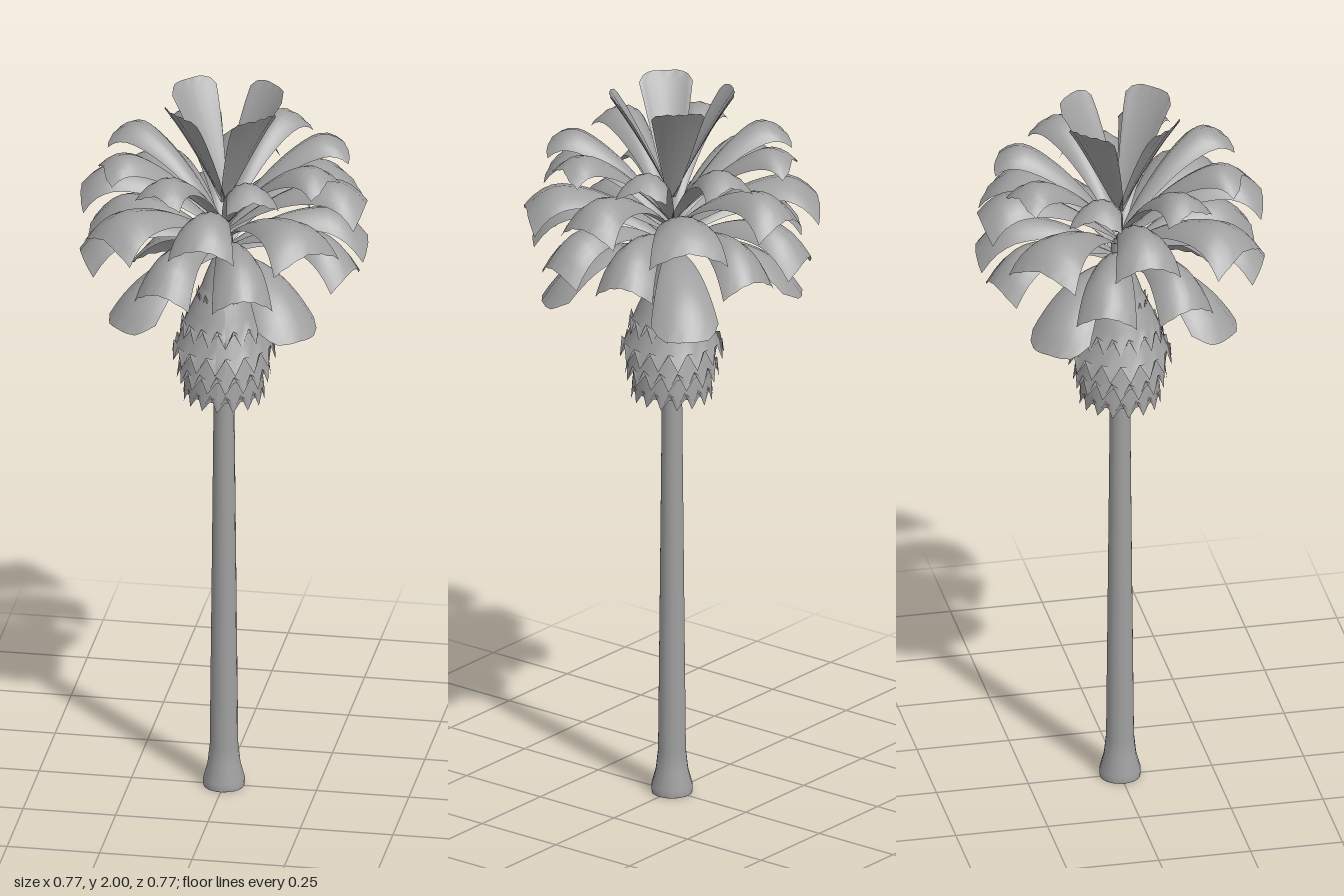
import * as THREE from 'three';

// Fan frond: a curve swept with an arched, pleated cross-section that widens to a tip curled down
function frondGeometry({ path: [base, ctrl, tip], width, arch, droop, notch, round }) {
  const curve = new THREE.QuadraticBezierCurve(
    new THREE.Vector2(...base), new THREE.Vector2(...ctrl), new THREE.Vector2(...tip));
  const rows = 14, cols = 10, pos = [], index = [];
  for (let i = 0; i <= rows; i++) {
    for (let j = 0; j <= cols; j++) {
      const v = j / cols * 2 - 1;
      // tip outline: a notch in the middle and rounded corners
      const reach = 1 - notch * Math.pow(Math.cos(v * Math.PI / 2), 8) - round * Math.pow(v, 4);
      const u = i / rows * reach;
      const p = curve.getPoint(u), t = curve.getTangent(u);
      const w = width * (0.12 + 0.88 * Math.pow(u, 0.85));
      const drop = arch * Math.min(1, 1.3 * u) * v * v + (j % 2 ? 0 : 0.004 * u);
      const curl = droop * Math.pow(Math.max(0, (u - 0.7) / 0.3), 2);
      pos.push(p.x + t.y * drop, p.y - t.x * drop - curl, -v * w);
    }
  }
  for (let i = 0; i < rows; i++) {
    for (let j = 0; j < cols; j++) {
      const a = i * (cols + 1) + j, b = a + cols + 1;
      index.push(a, b, a + 1, b, b + 1, a + 1);
    }
  }
  const g = new THREE.BufferGeometry();
  g.setAttribute('position', new THREE.Float32BufferAttribute(pos, 3));
  g.setIndex(index);
  g.computeVertexNormals();
  return g;
}

// Row of hanging dead leaves: a bulging open cone with a zigzag hem
function skirtGeometry(yTop, rTop, yTip, rTip, teeth, notch) {
  const steps = 6, g = new THREE.CylinderGeometry(rTop, rTip, 1, teeth * 2, steps, true);
  const p = g.attributes.position, cols = teeth * 2 + 1;
  for (let k = 0; k < p.count; k++) {
    const row = Math.floor(k / cols), col = k % cols, s = row / steps;
    const r = rTop + (rTip - rTop) * (s + 0.3 * s * (1 - s));
    const a = col / (teeth * 2) * Math.PI * 2;
    const lift = col % 2 && row === steps ? notch : 0;
    const rr = r * (lift ? 0.96 : 1);
    p.setXYZ(k, Math.sin(a) * rr, yTop + (yTip - yTop) * s + lift, Math.cos(a) * rr);
  }
  g.computeVertexNormals();
  return g;
}

export function createModel() {
  const model = new THREE.Group();
  const grey = new THREE.MeshStandardMaterial({ color: 0xa0a0a0, side: THREE.DoubleSide });
  grey.name = 'plainGrey';
  const add = (geometry, name, parent = model) => {
    const mesh = new THREE.Mesh(geometry, grey);
    mesh.name = name;
    parent.add(mesh);
    return mesh;
  };

  // Trunk with a flared foot
  const profile = [[0.055, 0], [0.056, 0.02], [0.044, 0.065], [0.038, 0.12], [0.033, 0.6],
    [0.027, 1.2], [0.024, 1.6], [0, 1.64]].map(([r, y]) => new THREE.Vector2(r, y));
  add(new THREE.LatheGeometry(profile, 14), 'trunk');
  const foot = add(new THREE.CircleGeometry(0.055, 14), 'trunkFoot');
  foot.rotation.x = Math.PI / 2;

  // Skirt rows: top height, top radius, tip height, tip radius
  const skirt = new THREE.Group();
  skirt.name = 'skirt';
  model.add(skirt);
  [[1.55, 0.024, 1.4, 0.076], [1.52, 0.024, 1.32, 0.118], [1.5, 0.026, 1.25, 0.14],
    [1.38, 0.075, 1.19, 0.126], [1.3, 0.09, 1.13, 0.11],
  ].forEach(([yTop, rTop, yTip, rTip], i) => {
    const row = add(skirtGeometry(yTop, rTop, yTip, rTip, 16, 0.05), 'skirtRow' + (i + 1), skirt);
    row.rotation.y = (i % 2) * Math.PI / 16;
  });

  // Crown tiers: curve as [radius, height] points, then the angles within each quarter turn
  const tiers = [
    { name: 'topFrond', path: [[0, 1.7], [0.075, 1.86], [0.165, 2.0]],
      width: 0.078, arch: -0.015, droop: 0, notch: 0, round: 0.1, angles: [45] },
    { name: 'upperFrond', path: [[0.01, 1.64], [0.18, 1.88], [0.335, 1.885]],
      width: 0.074, arch: 0.04, droop: 0.05, notch: 0.015, round: 0.05, angles: [23.5, 66.5] },
    { name: 'middleStraightFrond', path: [[0.01, 1.62], [0.22, 1.83], [0.385, 1.775]],
      width: 0.09, arch: 0.05, droop: 0.05, notch: 0, round: 0.01, angles: [0] },
    { name: 'middleDiagonalFrond', path: [[0.01, 1.6], [0.22, 1.79], [0.395, 1.735]],
      width: 0.106, arch: 0.04, droop: 0.05, notch: 0.01, round: 0, angles: [45] },
    { name: 'lowerFrond', path: [[0.01, 1.57], [0.2, 1.72], [0.387, 1.64]],
      width: 0.082, arch: 0.05, droop: 0.06, notch: 0, round: 0.01, angles: [17.5, 72.5] },
    { name: 'bottomFrond', path: [[0.01, 1.55], [0.2, 1.62], [0.35, 1.44]],
      width: 0.1, arch: 0.035, droop: 0.02, notch: 0, round: 0.12, angles: [45] },
  ];
  for (const tier of tiers) {
    const geometry = frondGeometry(tier);
    for (let quarter = 0; quarter < 4; quarter++) {
      for (const angle of tier.angles) {
        const frond = add(geometry, tier.name);
        frond.rotation.y = THREE.MathUtils.degToRad(angle + quarter * 90);
      }
    }
  }
  return model;
}
